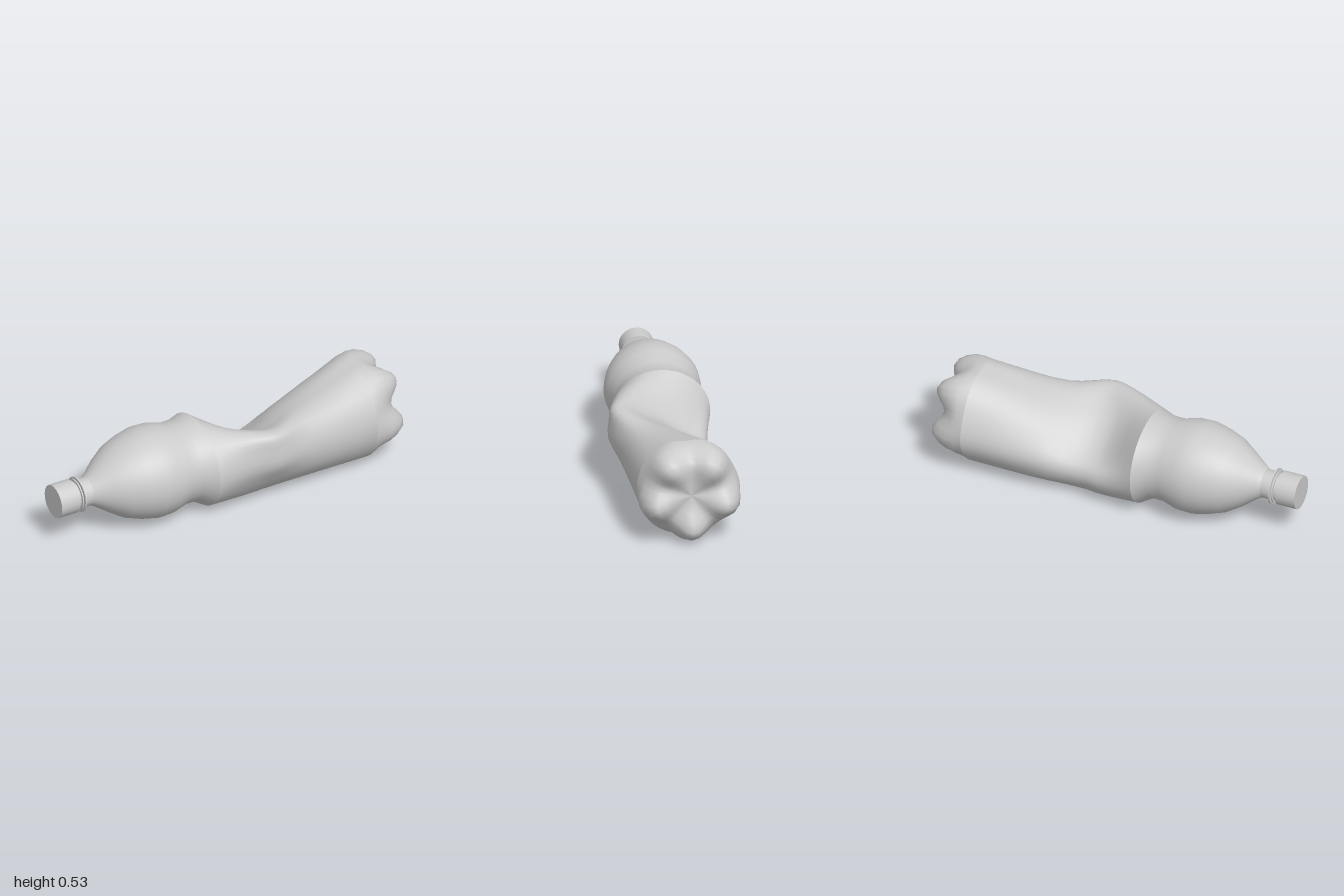
import * as THREE from 'three';

const SEG = 40;
const material = new THREE.MeshStandardMaterial({ color: 0xcccccc });

// Angle 0 points to +z and turns towards +y.
const angleOf = (k) => (k / SEG) * Math.PI * 2;

// Round ring of points [x, y, z] about the lengthwise axis
function roundRing(x, cy, cz, ry, rz) {
  return Array.from({ length: SEG }, (_, k) => {
    const a = angleOf(k);
    return [x, cy + ry * Math.sin(a), cz + rz * Math.cos(a)];
  });
}

// Ring through a closed list of [z, y] control points
function shapedRing(x, points) {
  const curve = new THREE.CatmullRomCurve3(points.map(([z, y]) => new THREE.Vector3(x, y, z)), true, 'centripetal');
  return Array.from({ length: SEG }, (_, k) => {
    const p = curve.getPoint(k / SEG);
    return [x, Math.max(0.002, p.y), p.z];
  });
}

// Smooth skin over rings ordered along +x
function loft(name, rings) {
  const index = [];
  for (let i = 0; i < rings.length - 1; i++) {
    for (let k = 0; k < SEG; k++) {
      const n = (k + 1) % SEG;
      const a = i * SEG + k, b = a + SEG, c = (i + 1) * SEG + n, d = i * SEG + n;
      index.push(a, b, c, a, c, d);
    }
  }
  const geometry = new THREE.BufferGeometry();
  geometry.setAttribute('position', new THREE.Float32BufferAttribute(rings.flat(2), 3));
  geometry.setIndex(index);
  geometry.computeVertexNormals();
  const mesh = new THREE.Mesh(geometry, material);
  mesh.name = name;
  return mesh;
}

// Cylinder lying along x
function disc(name, x0, x1, radius) {
  const geometry = new THREE.CylinderGeometry(radius, radius, x1 - x0, 20);
  geometry.rotateZ(Math.PI / 2);
  const mesh = new THREE.Mesh(geometry, material);
  mesh.position.set((x0 + x1) / 2, 0.261, -0.01);
  mesh.name = name;
  return mesh;
}

export function createModel() {
  const bottle = new THREE.Group();
  bottle.name = 'crushedBottle';

  // Screw cap, neck and two thin collars
  bottle.add(
    disc('cap', -1, -0.89, 0.09),
    disc('neck', -0.89, -0.79, 0.076),
    disc('upperCollar', -0.874, -0.867, 0.089),
    disc('lowerCollar', -0.861, -0.852, 0.095),
  );

  // Domed shoulder narrowing into a waist
  const bodyStart = roundRing(-0.15, 0.25, -0.015, 0.246, 0.265);
  const shoulder = [
    [-0.8, 0.076], [-0.77, 0.094], [-0.7, 0.146], [-0.62, 0.197], [-0.53, 0.228], [-0.45, 0.245],
    [-0.37, 0.242], [-0.29, 0.219], [-0.22, 0.219],
  ].map(([x, r]) => roundRing(x, 0.264, x < -0.75 ? -0.01 : -0.016, r, r * 1.03));
  bottle.add(loft('shoulder', [...shoulder, bodyStart]));

  // Body, caved in at the upper back and squeezed out at the front
  const dent = shapedRing(0.06, [
    [0.28, 0.27], [0.272, 0.37], [0.25, 0.44], [0.18, 0.46], [0.09, 0.412], [0.01, 0.358],
    [-0.07, 0.3], [-0.15, 0.245], [-0.215, 0.21], [-0.235, 0.155], [-0.205, 0.08], [-0.125, 0.015],
    [-0.02, 0.005], [0.06, 0.005], [0.16, 0.065], [0.235, 0.17],
  ]);
  const bulge = shapedRing(0.18, [
    [0.297, 0.27], [0.293, 0.37], [0.278, 0.44], [0.22, 0.453], [0.12, 0.403], [0.03, 0.355],
    [-0.05, 0.3], [-0.13, 0.245], [-0.195, 0.205], [-0.215, 0.15], [-0.19, 0.08], [-0.12, 0.015],
    [-0.02, 0.005], [0.06, 0.005], [0.16, 0.07], [0.245, 0.18],
  ]);
  const middle = shapedRing(0.4, [
    [0.26, 0.27], [0.245, 0.36], [0.2, 0.425], [0.12, 0.44], [0.04, 0.425], [-0.04, 0.4],
    [-0.12, 0.36], [-0.19, 0.3], [-0.24, 0.24], [-0.255, 0.18], [-0.22, 0.09], [-0.13, 0.02],
    [-0.03, 0.01], [0.06, 0.01], [0.16, 0.07], [0.235, 0.17],
  ]);
  const bodyEnd = shapedRing(0.8, [
    [0.238, 0.27], [0.22, 0.37], [0.17, 0.455], [0.07, 0.522], [-0.02, 0.528], [-0.11, 0.528],
    [-0.2, 0.475], [-0.26, 0.39], [-0.3, 0.28], [-0.29, 0.19], [-0.23, 0.1], [-0.13, 0.02],
    [-0.03, 0.012], [0.06, 0.012], [0.16, 0.07], [0.22, 0.17],
  ]);
  // Smooth lengthwise curves through matching points of the sections
  const sections = [bodyStart, dent, bulge, middle, bodyEnd];
  const strands = Array.from({ length: SEG }, (_, k) =>
    new THREE.CatmullRomCurve3(sections.map((ring) => new THREE.Vector3(...ring[k])), false, 'centripetal'));
  const STEPS = 16;
  const bodyRings = Array.from({ length: STEPS + 1 }, (_, i) =>
    strands.map((strand) => strand.getPoint(i / STEPS).toArray()));
  bottle.add(loft('body', bodyRings));

  // Five-lobed foot: lobes rise from soft grooves around a shallow central bowl
  const lobe = [[0.85, 0.273], [0.9, 0.27], [0.95, 0.25], [0.985, 0.222], [1, 0.19], [0.988, 0.145], [0.96, 0.1], [0.943, 0.05], [0.938, 0]];
  const groove = [[0.84, 0.253], [0.875, 0.236], [0.91, 0.21], [0.932, 0.185], [0.942, 0.16], [0.944, 0.13], [0.942, 0.09], [0.939, 0.05], [0.938, 0]];
  const foot = lobe.map(([lx, lr], i) => Array.from({ length: SEG }, (_, k) => {
    const a = angleOf(k);
    const w = 0.5 + 0.5 * Math.cos(5 * (a + Math.PI / 2));
    const x = THREE.MathUtils.lerp(groove[i][0], lx, w);
    const r = THREE.MathUtils.lerp(groove[i][1], lr, w);
    return [x, 0.276 + r * Math.sin(a), -0.03 + r * Math.cos(a)];
  }));
  bottle.add(loft('lobedFoot', [bodyEnd, ...foot]));

  return bottle;
}
